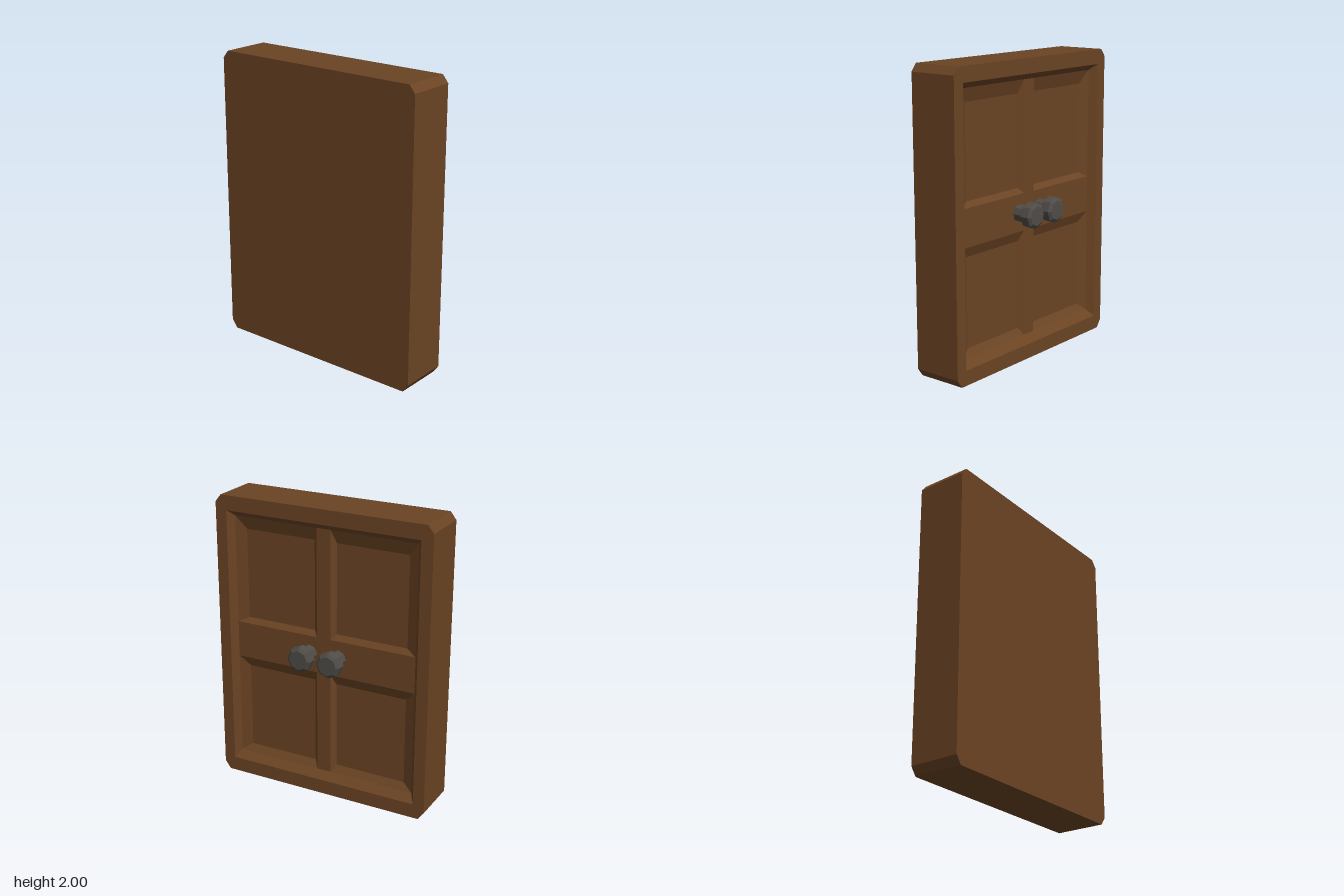
import * as THREE from 'three';

const BACK = -0.225, FACE = 0.115, RAIL = 0.065, PANEL = 0.035;

// Rectangle corners in the door plane (u runs across, v runs up), counter-clockwise
const rect = (u0, v0, u1, v1) => [[u0, v0], [u1, v0], [u1, v1], [u0, v1]];
const toPath = (points, Type = THREE.Path) => new Type(points.map(([u, v]) => new THREE.Vector2(u, v)));

// Slab of the door outline between two x positions, facing +x
function slab(shape, x0, x1) {
  return new THREE.ExtrudeGeometry(shape, { depth: x1 - x0, bevelEnabled: false })
    .rotateY(Math.PI / 2).translate(x0, 0, 0);
}

// Sloped band joining an outer loop at x0 to an inner loop at x1
function band(outer, x0, inner, x1) {
  const pos = [];
  const put = ([u, v], x) => pos.push(x, v, -u);
  outer.forEach((a, i) => {
    const j = (i + 1) % outer.length, b = outer[j], c = inner[j], d = inner[i];
    put(a, x0); put(b, x0); put(c, x1);
    put(a, x0); put(c, x1); put(d, x1);
  });
  const geo = new THREE.BufferGeometry();
  geo.setAttribute('position', new THREE.Float32BufferAttribute(pos, 3));
  geo.computeVertexNormals();
  return geo;
}

export function createModel() {
  const model = new THREE.Group();
  model.name = 'cabinetDoors';

  const wood = new THREE.MeshStandardMaterial({ color: 0x6b4423 });
  wood.name = 'brown wood';
  const iron = new THREE.MeshStandardMaterial({ color: 0x4f4c48, flatShading: true });
  iron.name = 'dark iron';

  const add = (name, geo, mat = wood) => {
    const mesh = new THREE.Mesh(geo, mat);
    mesh.name = name;
    model.add(mesh);
    return mesh;
  };

  // Body with clipped corners; its front is the floor of the panels
  const outline = [[-0.73, 0], [0.73, 0], [0.77, 0.055], [0.77, 1.95],
    [0.73, 2], [-0.73, 2], [-0.77, 1.95], [-0.77, 0.055]];
  add('body', slab(toPath(outline, THREE.Shape), BACK, PANEL));

  // Raised outer frame and its sloped inner edge
  const opening = rect(-0.69, 0.1, 0.69, 1.9);
  const frame = toPath(outline, THREE.Shape);
  frame.holes.push(toPath(opening));
  add('frame', slab(frame, PANEL, FACE));
  const railOutline = rect(-0.655, 0.15, 0.655, 1.86);
  add('frameBevel', band(opening, FACE, railOutline, RAIL));

  // Four sunken panels, two rows by two columns
  const rails = toPath(rect(-0.69, 0.1, 0.69, 1.9), THREE.Shape);
  const rows = [
    { name: 'lower', v: [0.15, 0.87], floor: [0.2, 0.8] },
    { name: 'upper', v: [1.12, 1.86], floor: [1.155, 1.77] },
  ];
  for (const { name, v, floor } of rows) {
    for (const side of [-1, 1]) {
      const span = (a, b) => (side > 0 ? [a, b] : [-b, -a]);
      const [u0, u1] = span(0.05, 0.655), [f0, f1] = span(0.08, 0.585);
      const edge = rect(u0, v[0], u1, v[1]);
      // Holes stay just inside the rail outline so they never share its border
      rails.holes.push(toPath(edge));
      add(`${name}PanelBevel`, band(edge, RAIL, rect(f0, floor[0], f1, floor[1]), PANEL));
    }
  }

  // Cross-shaped rails between the panels
  add('rails', new THREE.ShapeGeometry(rails).rotateY(Math.PI / 2).translate(RAIL, 0, 0));

  // Pair of eight-sided knobs
  const profile = [[0.058, 0], [0.058, 0.062], [0.086, 0.083], [0.086, 0.14], [0.066, 0.155], [0, 0.155]]
    .map(([r, h]) => new THREE.Vector2(r, h));
  for (const side of [-1, 1]) {
    const knob = add(side > 0 ? 'frontKnob' : 'backKnob',
      new THREE.LatheGeometry(profile, 8).rotateZ(-Math.PI / 2), iron);
    knob.position.set(RAIL, 1, side * 0.106);
  }

  return model;
}
